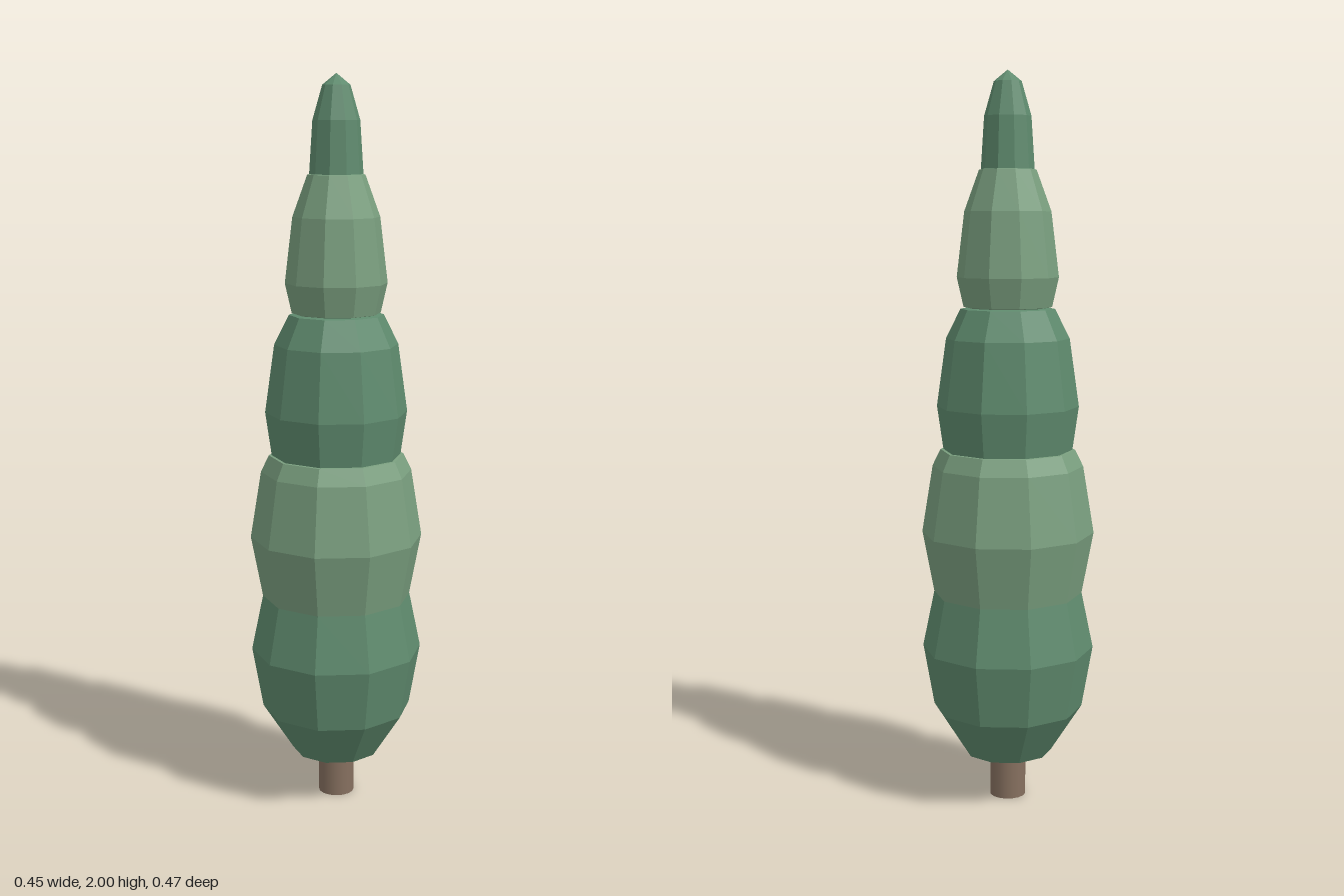
import * as THREE from 'three';

const SIDES = 10;

export function createModel() {
  const tree = new THREE.Group();
  tree.name = 'tree';

  const darkLeaf = new THREE.MeshStandardMaterial({ color: 0x5f8b6e, flatShading: true });
  const lightLeaf = new THREE.MeshStandardMaterial({ color: 0x7a9f7f, flatShading: true });
  const bark = new THREE.MeshStandardMaterial({ color: 0x86705f });

  // Foliage tiers from bottom to top, each a faceted lathe of [radius, height]
  const tiers = [
    [[0, 0.1], [0.05, 0.105], [0.122, 0.13], [0.207, 0.26], [0.237, 0.43], [0.205, 0.585]],
    [[0.205, 0.585], [0.237, 0.755], [0.207, 0.94], [0.185, 0.985], [0, 1.0]],
    [[0, 0.97], [0.177, 0.985], [0.194, 1.105], [0.168, 1.29], [0.128, 1.37], [0, 1.39]],
    [[0, 1.35], [0.12, 1.375], [0.138, 1.455], [0.117, 1.63], [0.077, 1.74], [0, 1.76]],
    [[0, 1.72], [0.072, 1.74], [0.063, 1.88], [0.037, 1.97], [0, 2.0]],
  ];
  tiers.forEach((profile, i) => {
    const points = profile.map(([r, y]) => new THREE.Vector2(r, y));
    const tier = new THREE.Mesh(
      new THREE.LatheGeometry(points, SIDES),
      i % 2 ? lightLeaf : darkLeaf
    );
    tier.name = `foliageTier${i + 1}`;
    tree.add(tier);
  });

  // Short round trunk reaching into the lowest tier
  const trunk = new THREE.Mesh(new THREE.CylinderGeometry(0.05, 0.05, 0.13, 16), bark);
  trunk.position.y = 0.065;
  trunk.name = 'trunk';
  tree.add(trunk);

  return tree;
}
